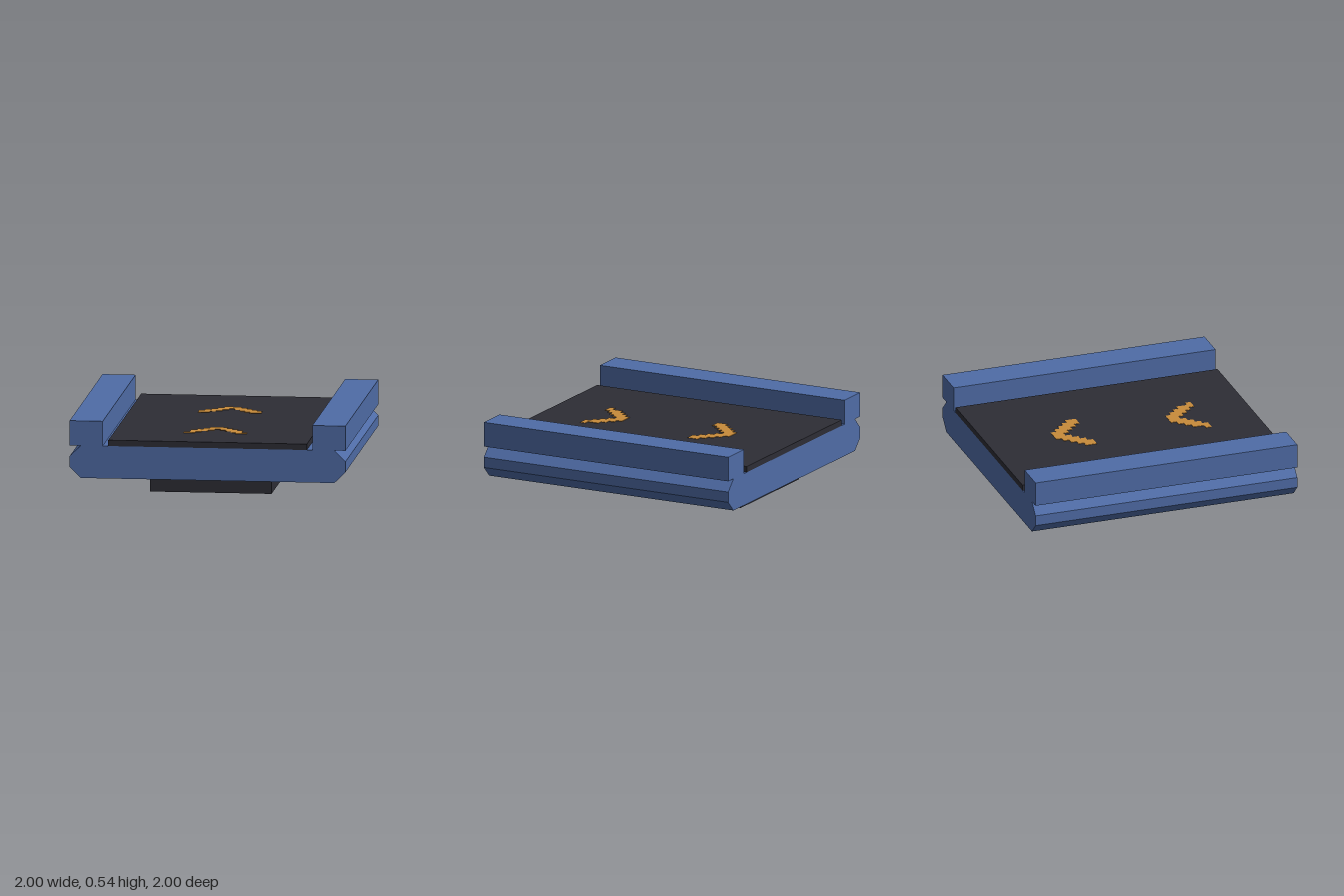
import * as THREE from 'three';

const blue = new THREE.MeshStandardMaterial({ color: 0x4f6ca6 });
blue.name = 'blue frame';
const dark = new THREE.MeshStandardMaterial({ color: 0x2d2d35 });
dark.name = 'dark rubber';
const orange = new THREE.MeshStandardMaterial({ color: 0xc88b3a });
orange.name = 'orange paint';

function box(name, material, w, h, d, x, y, z) {
  const mesh = new THREE.Mesh(new THREE.BoxGeometry(w, h, d), material);
  mesh.name = name;
  mesh.position.set(x, y, z);
  return mesh;
}

// Stepped arrow: each row lists [first column, column count] runs
function chevron(name, rows, zTop) {
  const cell = 0.0417, group = new THREE.Group();
  group.name = name;
  rows.forEach((runs, r) => runs.forEach(([start, count]) => {
    const x = -0.22 + (start + count / 2) * cell;
    group.add(box('chevronStep', orange, count * cell, 0.004, cell, x, 0.404, zTop + (r + 0.5) * cell));
  }));
  return group;
}

export function createModel() {
  const model = new THREE.Group();
  model.name = 'conveyorSegment';

  // Bed with bevelled long edges
  const half = [[0.92, 0.123], [1, 0.203], [1, 0.28], [0.92, 0.36]];
  const outline = [...half, ...half.map(([x, y]) => [-x, y]).reverse()];
  const shape = new THREE.Shape(outline.map(([x, y]) => new THREE.Vector2(x, y)));
  const bedGeometry = new THREE.ExtrudeGeometry(shape, { depth: 2, bevelEnabled: false });
  bedGeometry.translate(0, 0, -1);
  const bed = new THREE.Mesh(bedGeometry, blue);
  bed.name = 'bed';
  model.add(bed);

  // Side rails
  for (const [name, s] of [['leftRail', 1], ['rightRail', -1]]) {
    model.add(box(name, blue, 0.24, 0.18, 2, s * 0.88, 0.45, 0));
  }

  // Belt and base block
  model.add(box('belt', dark, 1.44, 0.043, 2, 0, 0.3815, 0));
  model.add(box('base', dark, 0.88, 0.123, 1.6, 0, 0.0615, 0));

  // Painted direction arrows
  const tip = [[[4, 3]], [[3, 5]], [[2, 3], [6, 3]], [[1, 3], [7, 3]]];
  const foot = [[0, 2], [9, 2]];
  model.add(chevron('backChevron', [...tip, [[0, 3], [8, 3]], foot], -0.505));
  model.add(chevron('frontChevron', [...tip, [[1, 2], [8, 2]], foot], 0.372));

  return model;
}
